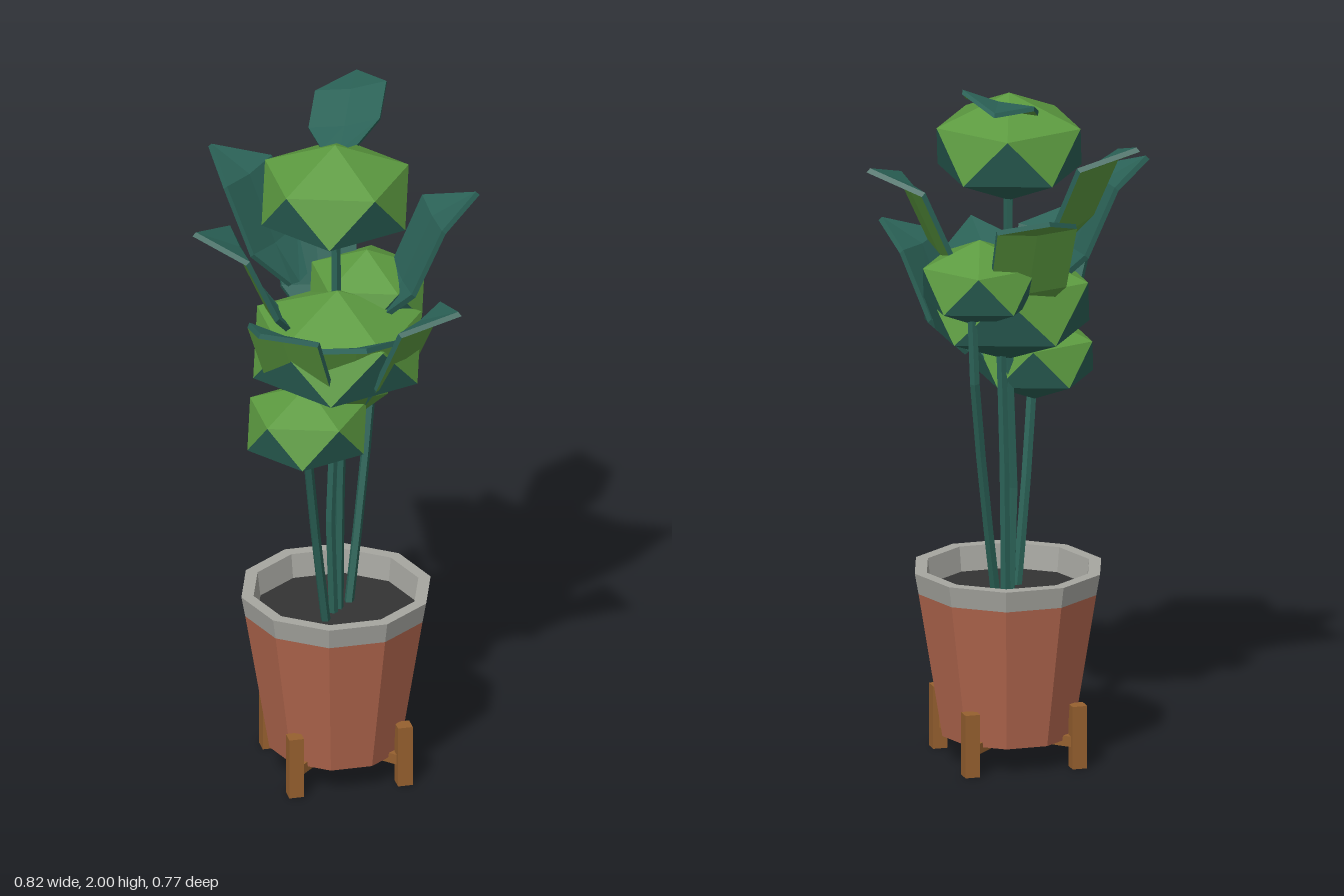
import * as THREE from 'three';

const mat = (color, side = THREE.FrontSide) =>
  new THREE.MeshStandardMaterial({ color, flatShading: true, side });
const GREEN = mat(0x5c9a40);
const TEAL = mat(0x2b6257);
const TEAL_LEAF = mat(0x2b6257, THREE.DoubleSide);
const CLAY = mat(0xb2674e);
const RIM = mat(0xa6a6a0);
const SOIL = mat(0x333333);
const WOOD = mat(0x96602f);
const CENTRE_Z = 0.02;

function add(parent, name, geometry, material, x = 0, y = 0, z = 0) {
  const mesh = new THREE.Mesh(geometry, material);
  mesh.name = name;
  mesh.position.set(x, y, z);
  parent.add(mesh);
  return mesh;
}

// Geometry from a flat list of triangle corners
function fromCorners(corners) {
  const g = new THREE.BufferGeometry().setFromPoints(corners);
  g.computeVertexNormals();
  return g;
}

// Squashed icosahedron: upward faces green, downward faces teal
function foliage(name, x, y, z, radius, halfHeight) {
  const group = new THREE.Group();
  group.name = name;
  group.position.set(x, y, z);
  const ringY = halfHeight * 0.447;
  const ring = (i, h) => {
    const a = (i * Math.PI * 2) / 5;
    return new THREE.Vector3(Math.cos(a) * radius, h, Math.sin(a) * radius);
  };
  const top = new THREE.Vector3(0, halfHeight, 0);
  const bottom = new THREE.Vector3(0, -halfHeight, 0);
  const up = [], down = [];
  for (let i = 0; i < 5; i++) {
    const u0 = ring(i, ringY), u1 = ring(i + 1, ringY);
    const l0 = ring(i + 0.5, -ringY), l1 = ring(i + 1.5, -ringY);
    up.push(top, u1, u0, u0, u1, l0);
    down.push(u1, l1, l0, bottom, l0, l1);
  }
  add(group, 'foliageTop', fromCorners(up), GREEN);
  add(group, 'foliageUnderside', fromCorners(down), TEAL);
  return group;
}

// Bent leaf from [distance, height, halfWidth] sections, growing along local +z
function leaf(name, sections, angle, tilt = 0) {
  const group = new THREE.Group();
  group.name = name;
  group.rotation.y = angle;
  const t = 0.011;
  const rows = sections.map(([r, y, w]) => [-1, 0, 1].map((s) =>
    new THREE.Vector3(s * w, y + tilt * s * w - (s === 0 && w ? 0.01 : 0), r)));
  const low = (v) => new THREE.Vector3(v.x, v.y - t, v.z + t);
  const top = [], under = [];
  for (let i = 0; i < rows.length - 1; i++) {
    for (let j = 0; j < 2; j++) {
      const a = rows[i][j], b = rows[i][j + 1], c = rows[i + 1][j], d = rows[i + 1][j + 1];
      top.push(a, c, b, b, c, d);
      under.push(low(a), low(b), low(c), low(b), low(d), low(c));
    }
    // thin rim along both edges
    for (const j of [0, 2]) {
      const a = rows[i][j], c = rows[i + 1][j];
      top.push(a, low(a), c, c, low(a), low(c));
    }
  }
  add(group, 'leafTop', fromCorners(top), TEAL_LEAF);
  add(group, 'leafUnderside', fromCorners(under), GREEN);
  return group;
}

function lathe(points) {
  return new THREE.LatheGeometry(points.map(([r, y]) => new THREE.Vector2(r, y)), 10, Math.PI / 2);
}

export function createModel() {
  const model = new THREE.Group();
  model.name = 'pottedPlant';

  // Ten-sided pot, rim and soil
  const planter = new THREE.Group();
  planter.name = 'planter';
  planter.position.z = CENTRE_Z;
  model.add(planter);
  add(planter, 'pot', lathe([[0, 0.075], [0.19, 0.075], [0.259, 0.49]]), CLAY);
  add(planter, 'rim', lathe([[0.259, 0.49], [0.27, 0.55], [0.235, 0.55], [0.224, 0.46]]), RIM);
  add(planter, 'soil', lathe([[0.226, 0.48], [0, 0.48]]), SOIL);

  // Wooden stand: four legs and a cross under the pot
  for (const x of [-0.155, 0.155])
    for (const z of [-0.155, 0.155])
      add(planter, 'leg', new THREE.BoxGeometry(0.042, 0.18, 0.042), WOOD, x, 0.09, z);
  for (const a of [Math.PI / 4, -Math.PI / 4])
    add(planter, 'crossBar', new THREE.BoxGeometry(0.42, 0.03, 0.036), WOOD, 0, 0.075, 0).rotation.y = a;

  // Stems, each a bent five-sided tube
  const stems = [
    [[-0.04, 0.46, 0.07], [-0.085, 0.78, 0.125], [-0.125, 1.08, 0.19]],
    [[0.045, 0.46, -0.02], [0.105, 0.85, -0.085], [0.15, 1.2, -0.145], [0.15, 1.36, -0.13]],
    [[0.01, 0.46, 0.01], [0.015, 0.85, 0.005], [0.025, 1.25, 0.01]],
    [[-0.01, 0.46, 0.03], [-0.022, 0.85, 0.04], [0, 1.2, 0.02], [0, 1.7, 0.01]],
  ];
  for (const pts of stems) {
    const curve = new THREE.CatmullRomCurve3(pts.map((p) => new THREE.Vector3(...p)));
    add(model, 'stem', new THREE.TubeGeometry(curve, 4, 0.014, 5), TEAL);
  }

  // Foliage clusters
  model.add(
    foliage('topFoliage', 0, 1.763, 0.01, 0.21, 0.155),
    foliage('middleFoliage', 0, 1.31, 0.035, 0.24, 0.168),
    foliage('backFoliage', 0.115, 1.405, -0.09, 0.165, 0.125),
    foliage('lowerFoliage', -0.11, 1.118, 0.13, 0.17, 0.125),
  );

  // Ring of leaves: [name, tip x, tip height, tip z]
  const leaves = [
    ['backLeaf', 0, 1.65, -0.385], ['backRightLeaf', -0.29, 1.815, -0.285],
    ['rightLeaf', -0.41, 1.7, 0.02], ['leftLeaf', 0.41, 1.73, 0.02],
    ['frontRightLeaf', -0.29, 1.505, 0.3], ['frontLeftLeaf', 0.29, 1.505, 0.3],
    ['frontLeaf', 0, 1.465, 0.385],
  ];
  for (const [name, x, y, z] of leaves) {
    const dz = z - CENTRE_Z;
    const r = Math.hypot(x, dz) - 0.011;
    const sections = [
      [r - 0.29, y - 0.34, 0.04], [r - 0.21, y - 0.24, 0.11],
      [r - 0.125, y - 0.05, 0.115], [r, y, 0],
    ];
    const l = leaf(name, sections, Math.atan2(x, dz));
    l.position.z = CENTRE_Z;
    model.add(l);
  }

  // Crowning leaf, lifted on one side
  const crown = leaf('crownLeaf',
    [[0, 1.895, 0.05], [0.09, 1.925, 0.1], [0.22, 1.975, 0.1], [0.34, 1.965, 0]],
    Math.atan2(0.13, -0.325), -0.22);
  crown.position.set(0.02, 0, -0.02);
  model.add(crown);

  return model;
}
